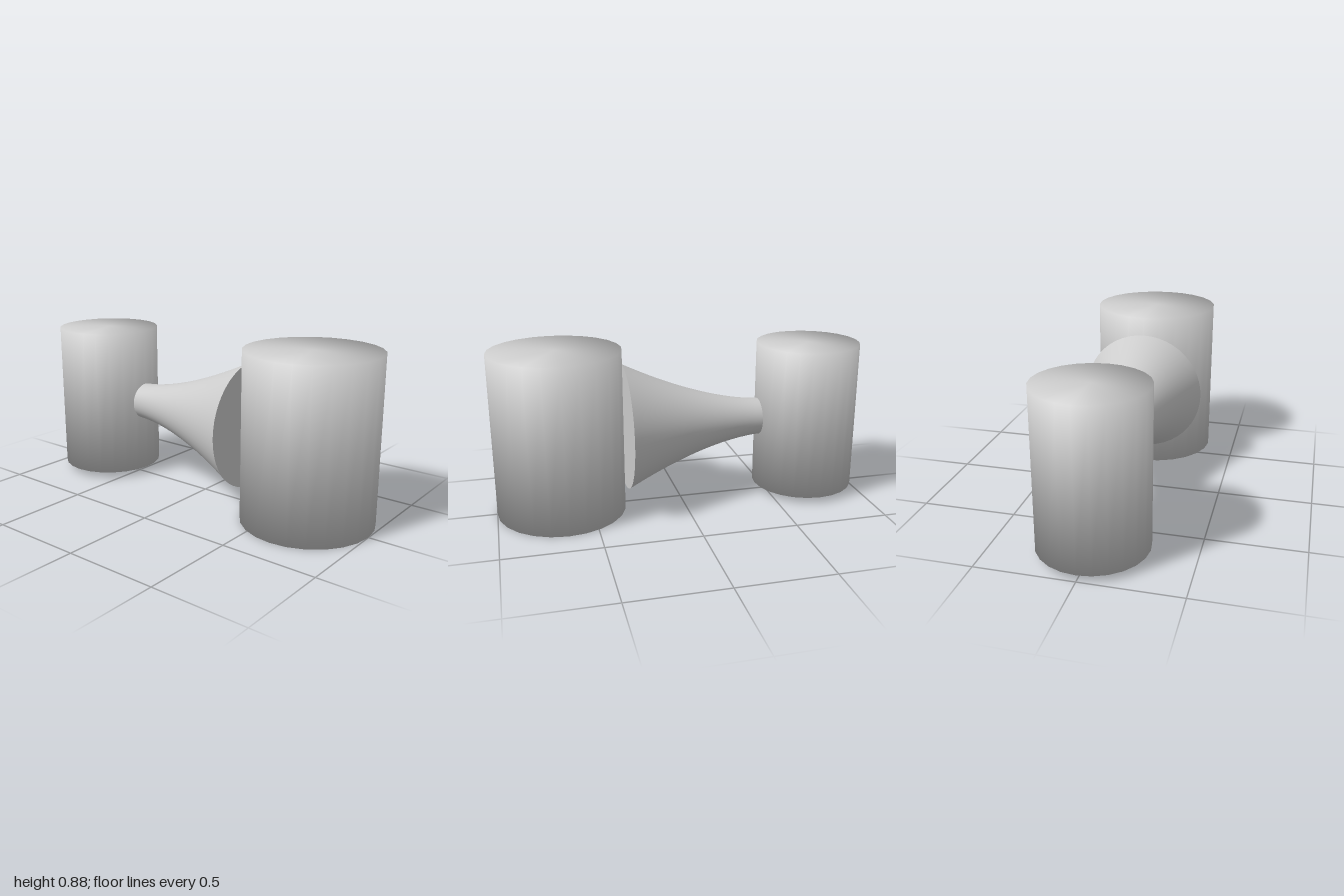
import * as THREE from 'three';

const material = new THREE.MeshStandardMaterial({ color: 0xcccccc });

// Upright drum whose shading rolls softly over the rims
function drum(name, radius, bottom, top, z) {
  const geometry = new THREE.CylinderGeometry(radius, radius, top - bottom, 24);
  const { position, normal } = geometry.attributes;
  const n = new THREE.Vector3();
  for (let i = 0; i < position.count; i++) {
    n.set(position.getX(i) / radius, Math.sign(position.getY(i)), position.getZ(i) / radius).normalize();
    normal.setXYZ(i, n.x, n.y, n.z);
  }
  const mesh = new THREE.Mesh(geometry, material);
  mesh.name = name;
  mesh.position.set(0, (bottom + top) / 2, z);
  return mesh;
}

// Flared neck along z: narrow at the back, wide at the front, capped at both ends
function flaredNeck() {
  const back = -0.44, front = 0.31, narrow = 0.1, wide = 0.335, steps = 20;
  const points = [new THREE.Vector2(0, back), new THREE.Vector2(narrow, back)];
  for (let i = 0; i <= steps; i++) {
    const s = i / steps;
    points.push(new THREE.Vector2(narrow + (wide - narrow) * s ** 1.6, back + (front - back) * s));
  }
  // repeated rim points keep the cap edges sharp
  points.push(new THREE.Vector2(wide, front), new THREE.Vector2(0, front));
  const mesh = new THREE.Mesh(new THREE.LatheGeometry(points, 48).rotateX(Math.PI / 2), material);
  mesh.name = 'flaredNeck';
  mesh.position.y = 0.44;
  return mesh;
}

export function createModel() {
  const group = new THREE.Group();
  group.name = 'drumsWithFlaredNeck';
  group.add(
    drum('frontDrum', 0.343, 0, 0.875, 0.657),
    flaredNeck(),
    drum('backDrum', 0.28, 0.035, 0.845, -0.72),
  );
  return group;
}
